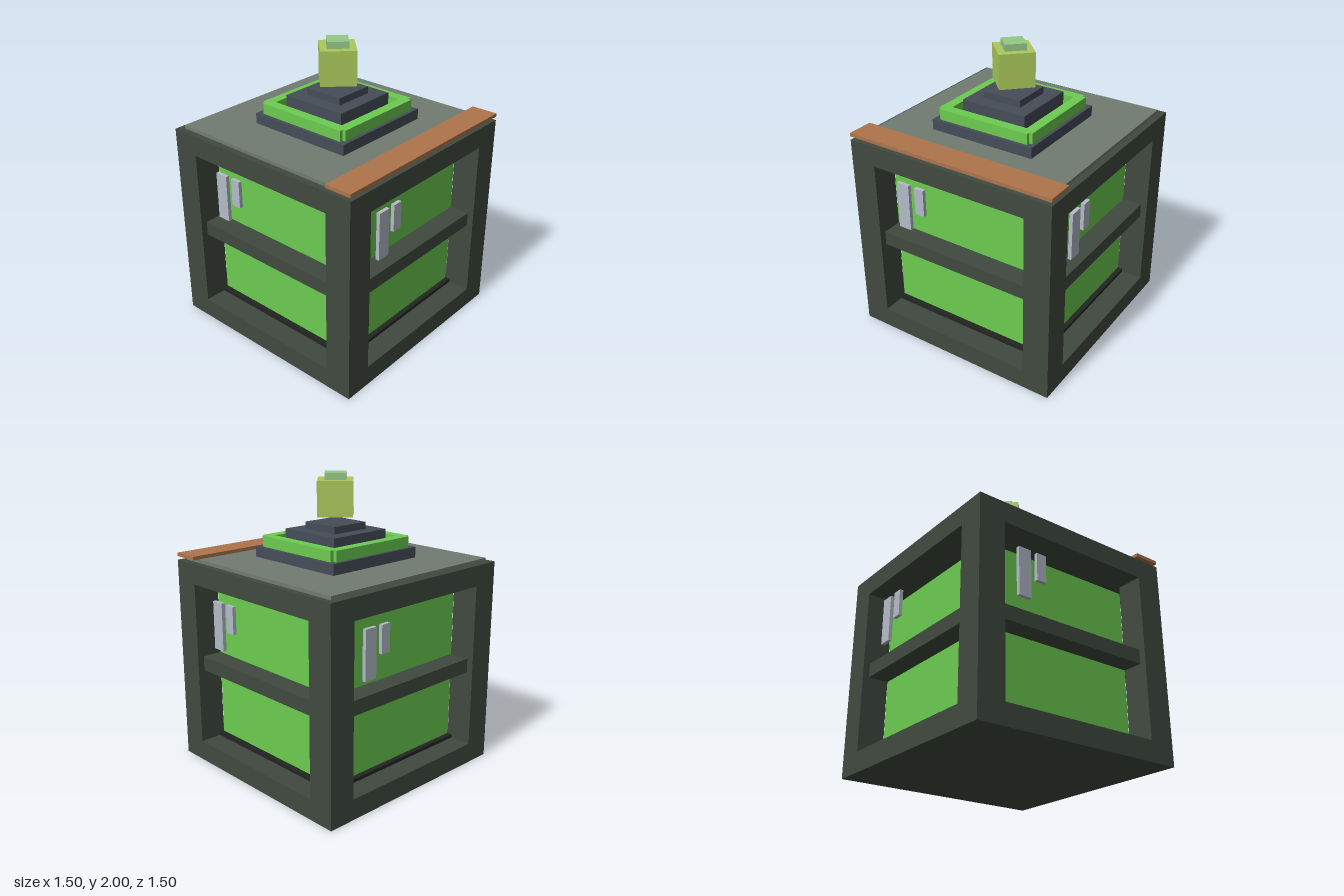
import * as THREE from 'three';

const mat = (name, color) => {
  const m = new THREE.MeshStandardMaterial({ color });
  m.name = name;
  return m;
};

export function createModel() {
  const root = new THREE.Group();
  root.name = 'tank';

  const frame = mat('dark frame', 0x404a40);
  const green = mat('bright green', 0x6ccc50);
  const black = mat('black', 0x222522);
  const roofGrey = mat('roof grey', 0x727c72);
  const copper = mat('copper', 0xae744c);
  const slate = mat('slate', 0x454d58);
  const glass = mat('pale grey', 0xb4bcc8);
  const lime = mat('lime', 0xabc95c);
  const mint = mat('mint', 0x94c887);

  // Box given by its limits on each axis
  const box = (name, material, [x0, x1], [y0, y1], [z0, z1], parent = root) => {
    const mesh = new THREE.Mesh(new THREE.BoxGeometry(x1 - x0, y1 - y0, z1 - z0), material);
    mesh.position.set((x0 + x1) / 2, (y0 + y1) / 2, (z0 + z1) / 2);
    mesh.name = name;
    parent.add(mesh);
    return mesh;
  };
  // Square slab centred on the vertical axis
  const slab = (name, material, half, y0, y1) =>
    box(name, material, [-half, half], [y0, y1], [-half, half]);

  // Casing: floor, ceiling and four corner posts
  slab('frameFloor', frame, 0.75, 0, 0.14);
  slab('frameCeiling', frame, 0.75, 1.272, 1.412);
  for (const sx of [-1, 1]) for (const sz of [-1, 1]) {
    const post = box('cornerPost', frame, [0.565, 0.75], [0.14, 1.272], [0.565, 0.75]);
    post.position.x *= sx;
    post.position.z *= sz;
  }

  // Contents standing on a thin tray
  slab('tray', black, 0.6, 0.14, 0.163);
  slab('core', green, 0.564, 0.163, 1.222);

  // Each side repeats a cross rail and two glint plates
  for (let i = 0; i < 4; i++) {
    const side = new THREE.Group();
    side.name = 'side';
    side.rotation.y = i * Math.PI / 2;
    box('crossRail', frame, [-0.565, 0.565], [0.66, 0.758], [0.564, 0.705], side);
    box('longGlint', glass, [-0.425, -0.332], [0.852, 1.18], [0.68, 0.705], side);
    box('shortGlint', glass, [-0.286, -0.215], [0.993, 1.18], [0.68, 0.705], side);
    root.add(side);
  }

  // Roof plate and front trim
  slab('roofPlate', roofGrey, 0.706, 1.412, 1.436);
  box('frontTrim', copper, [-0.75, 0.75], [1.436, 1.46], [0.565, 0.75]);

  // Stepped pedestal
  slab('lowerStep', slate, 0.376, 1.436, 1.508);
  slab('middleStep', slate, 0.235, 1.508, 1.627);
  slab('upperStep', slate, 0.14, 1.627, 1.674);

  // Square ring with notched corners
  const o = 0.353, n = 0.329, h = 0.283;
  const outline = [];
  for (let i = 0; i < 4; i++) {
    for (const [x, y] of [[o, -n], [o, n], [n, n]]) {
      const p = new THREE.Vector2(x, y);
      outline.push(p.rotateAround(new THREE.Vector2(), i * Math.PI / 2));
    }
  }
  const ringShape = new THREE.Shape(outline);
  ringShape.holes.push(new THREE.Path([[-h, -h], [-h, h], [h, h], [h, -h]]
    .map(([x, y]) => new THREE.Vector2(x, y))));
  const ring = new THREE.Mesh(
    new THREE.ExtrudeGeometry(ringShape, { depth: 0.073, bevelEnabled: false }), green);
  ring.name = 'pedestalRing';
  ring.rotation.x = -Math.PI / 2;
  ring.position.y = 1.508;
  root.add(ring);

  // Floating block turned on its corner, with a small cap
  slab('floatingBlock', lime, 0.117, 1.722, 1.955).rotation.y = Math.PI / 4;
  slab('blockCap', mint, 0.07, 1.955, 2).rotation.y = Math.PI / 4;

  return root;
}
